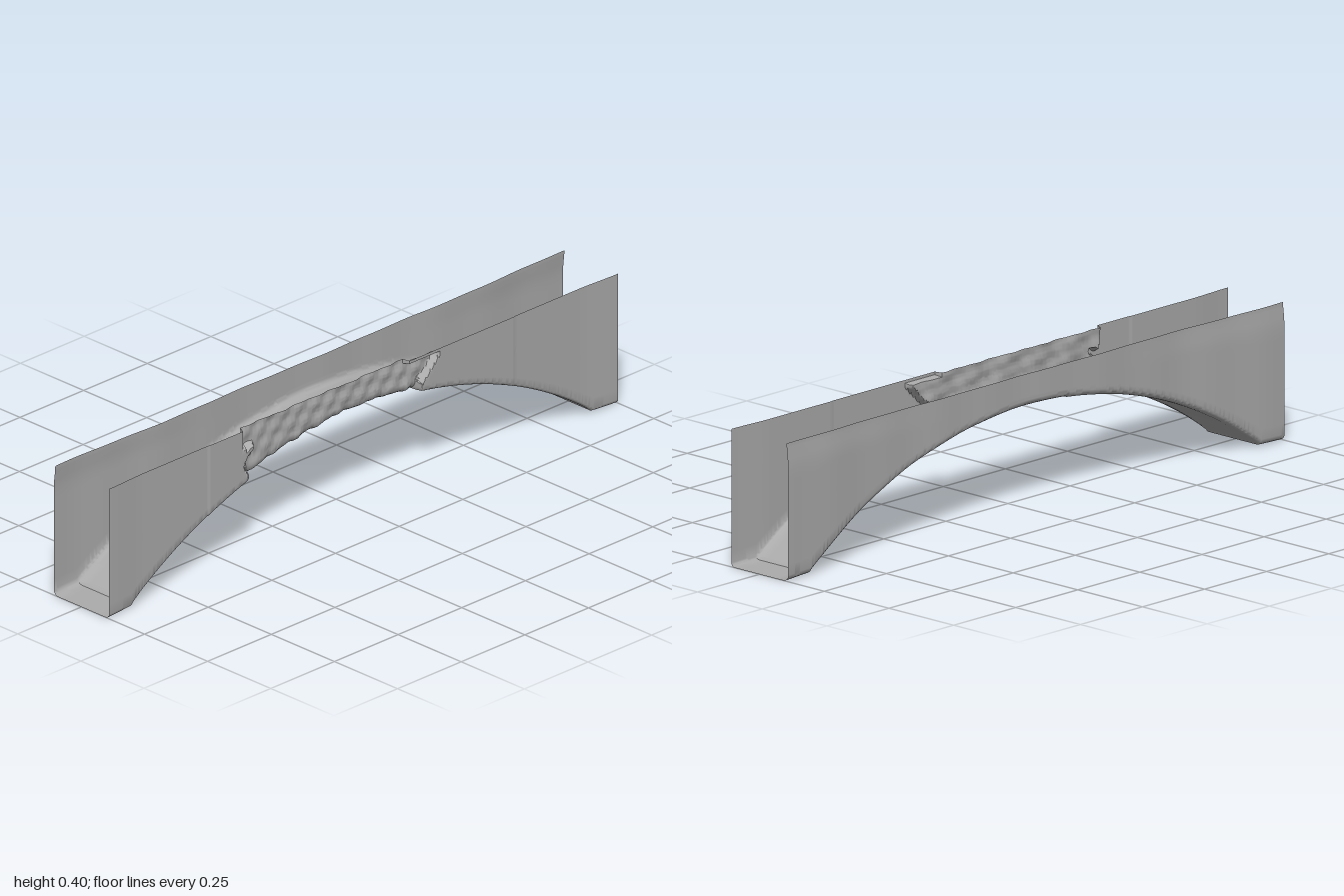
import * as THREE from 'three';
import { toCreasedNormals } from 'three/addons/utils/BufferGeometryUtils.js';

const TOP = 0.4;
const clamp01 = (t) => Math.min(1, Math.max(0, t));
const step = (a, b, v) => THREE.MathUtils.smoothstep(v, a, b);

// Circular arch between two short flat feet
function soffit(x) {
  const a = Math.abs(x);
  if (a >= 0.905) return 0.004 * clamp01((1 - a) / 0.095);
  const seam = x > -0.15 ? 0 : -0.003 * step(-0.9, -0.15, x);
  return Math.max(0.004, 0.305 - 1.52 + Math.sqrt(1.52 * 1.52 - x * x) + seam);
}

// 0..1 amount of broken facing at a point of the front wall
function damage(x, y) {
  const left = y > 0.34 ? -0.465 : -0.44 + 0.02 * Math.sin(y * 60);
  const right = 0.22 + clamp01((y - 0.3) / 0.08) * 0.08;
  if (y > 0.388 && x > 0.18) return 0;
  return step(left - 0.006, left + 0.008, x) * (1 - step(right - 0.006, right + 0.006, x));
}

const rough = (x, y) =>
  Math.sin(x * 47 + y * 31) * 0.4 + Math.sin(x * 91 - y * 83 + 1) * 0.35 + Math.sin(x * 23 + y * 140) * 0.25;

function frontZ(x, y) {
  const d = damage(x, y);
  const face = 0.105 + 0.006 * step(0.85, 1, Math.abs(x)) - 0.002 * step(0.6, 0, Math.abs(x));
  return face - d * (0.021 + 0.005 * rough(x, y));
}

function backZ(x, y) {
  const end = x < 0 ? 0.013 * step(0.55, 1, -x) : 0.011 * step(0.4, 1, x);
  const lean = 0.006 * step(0.33, 0.4, y) * step(0.3, 1, Math.abs(x));
  const wave = 0.0015 * Math.sin(x * 11 + 1) + 0.001 * Math.sin(x * 29);
  return -0.098 - end + lean + wave;
}

// Front wall, rounded corner, underside, rounded corner, back wall
function crossSection(x) {
  const pts = [];
  const base = soffit(x);
  const d = damage(x, base + 0.03);
  const rf = 0.012 + d * (0.014 + 0.006 * rough(x * 1.6, 0.3));
  const rb = 0.018;
  const rows = [0, 0.009, 0.013];
  const wallY = (i, r) => {
    if (i < 3) return TOP - rows[i];
    return THREE.MathUtils.lerp(TOP - 0.013, base + r, (i - 2) / 12);
  };
  for (let i = 0; i < 15; i++) {
    const y = wallY(i, rf);
    pts.push([y, frontZ(x, y)]);
  }
  const zf = frontZ(x, base + rf);
  const zb = backZ(x, base + rb);
  for (let i = 1; i <= 4; i++) {
    const a = (i / 4) * Math.PI / 2;
    pts.push([base + rf * (1 - Math.sin(a)), zf - rf * (1 - Math.cos(a))]);
  }
  for (let i = 1; i < 6; i++) {
    pts.push([base, THREE.MathUtils.lerp(zf - rf, zb + rb, i / 6)]);
  }
  for (let i = 0; i < 4; i++) {
    const a = (i / 4) * Math.PI / 2;
    pts.push([base + rb * (1 - Math.cos(a)), zb + rb * (1 - Math.sin(a))]);
  }
  for (let i = 14; i >= 0; i--) {
    const y = wallY(i, rb);
    pts.push([y, backZ(x, y)]);
  }
  return pts;
}

function shellGeometry() {
  const columns = 400;
  const positions = [];
  const index = [];
  let rows = 0;
  for (let i = 0; i <= columns; i++) {
    const x = -1 + (2 * i) / columns;
    const section = crossSection(x);
    rows = section.length;
    for (const [y, z] of section) positions.push(x, y, z);
  }
  for (let i = 0; i < columns; i++) {
    for (let j = 0; j < rows - 1; j++) {
      const a = i * rows + j;
      const b = a + rows;
      index.push(a, a + 1, b, b, a + 1, b + 1);
    }
  }
  const geometry = new THREE.BufferGeometry();
  geometry.setAttribute('position', new THREE.Float32BufferAttribute(positions, 3));
  geometry.setIndex(index);
  return toCreasedNormals(geometry, 0.7);
}

export function createModel() {
  const stone = new THREE.MeshStandardMaterial({ color: 0xaaaaaa, side: THREE.DoubleSide });
  stone.name = 'grey stone';

  // Open trough: both side walls and the arched underside in one skin
  const shell = new THREE.Mesh(shellGeometry(), stone);
  shell.name = 'archShell';

  const model = new THREE.Group();
  model.name = 'archBridge';
  model.add(shell);
  return model;
}
